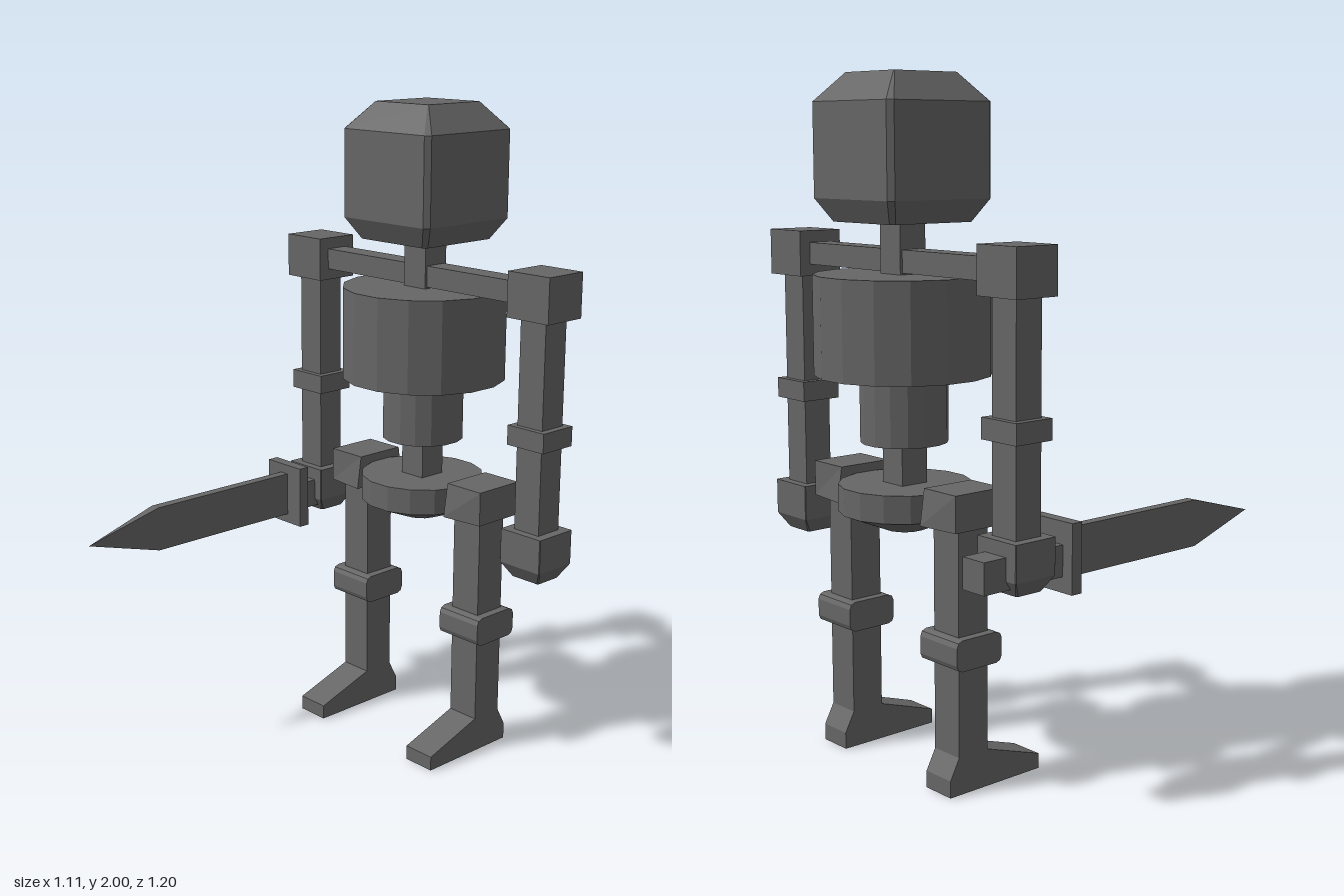
import * as THREE from 'three';

const Z = -0.35; // body axis

export function createModel() {
  const root = new THREE.Group();
  const grey = new THREE.MeshStandardMaterial({ color: 0x666666, flatShading: true });
  grey.name = 'stone grey';

  const add = (name, geo, x = 0, y = 0, z = Z) => {
    const m = new THREE.Mesh(geo, grey);
    m.name = name;
    m.position.set(x, y, z);
    root.add(m);
    return m;
  };
  const box = (name, w, y0, y1, d, x = 0, z = Z) =>
    add(name, new THREE.BoxGeometry(w, y1 - y0, d), x, (y0 + y1) / 2, z);
  const drum = (name, rTop, rBottom, y0, y1) => {
    const g = new THREE.CylinderGeometry(rTop, rBottom, y1 - y0, 16);
    g.rotateY(Math.PI / 16);
    return add(name, g, 0, (y0 + y1) / 2);
  };

  // Stack of rectangular rings [y, halfX, halfZ, corner chamfer], capped at both ends
  const loft = (rings) => {
    const pos = [], idx = [], n = 8;
    for (const [y, a, b, c] of rings) {
      for (const [x, z] of [[a, b - c], [a - c, b], [c - a, b], [-a, b - c],
        [-a, c - b], [c - a, -b], [a - c, -b], [a, c - b]]) pos.push(x, y, z);
    }
    for (let r = 0; r < rings.length - 1; r++) {
      for (let i = 0; i < n; i++) {
        const p = r * n + i, q = r * n + (i + 1) % n;
        idx.push(p, p + n, q, q, p + n, q + n);
      }
    }
    const top = (rings.length - 1) * n;
    for (let i = 1; i < n - 1; i++) {
      idx.push(0, i, i + 1, top, top + i + 1, top + i);
    }
    const g = new THREE.BufferGeometry();
    g.setAttribute('position', new THREE.Float32BufferAttribute(pos, 3));
    g.setIndex(idx);
    g.computeVertexNormals();
    return g;
  };

  // Side profile of [z, y] points, extruded across x and centred on it
  const sideExtrude = (points, width) => {
    const s = new THREE.Shape(points.map(([z, y]) => new THREE.Vector2(-z, y)));
    const g = new THREE.ExtrudeGeometry(s, { depth: width, bevelEnabled: false });
    g.translate(0, 0, -width / 2);
    g.rotateY(Math.PI / 2);
    return g;
  };

  // Head, spine and torso
  add('head', loft([
    [1.59, 0.14, 0.145, 0.012], [1.655, 0.182, 0.182, 0.015],
    [1.92, 0.182, 0.182, 0.015], [2.0, 0.11, 0.11, 0.002],
  ]));
  box('neck', 0.09, 1.44, 1.62, 0.09);
  box('shoulderBar', 0.84, 1.45, 1.515, 0.075);
  drum('chest', 0.255, 0.255, 1.16, 1.445);
  drum('waist', 0.127, 0.127, 0.965, 1.16);
  box('spine', 0.09, 0.83, 0.98, 0.09);
  drum('pelvis', 0.193, 0.193, 0.765, 0.845);
  drum('pelvisBase', 0.193, 0.06, 0.71, 0.765);

  for (const s of [-1, 1]) {
    const side = s > 0 ? 'left' : 'right';

    // Arms
    const ax = s * 0.478;
    box(side + 'Shoulder', 0.155, 1.415, 1.55, 0.145, ax);
    box(side + 'Arm', 0.094, 0.75, 1.42, 0.09, ax);
    box(side + 'Elbow', 0.138, 1.035, 1.095, 0.128, ax);
    add(side + 'Hand', loft([
      [0.625, 0.052, 0.045, 0.005], [0.67, 0.077, 0.072, 0.002], [0.775, 0.077, 0.072, 0.002],
    ]), ax);

    // Hips, wider toward the pelvis
    const hip = new THREE.BoxGeometry(0.135, 0.105, 0.17);
    const p = hip.attributes.position;
    for (let i = 0; i < p.count; i++) {
      if (p.getX(i) * s < 0 && p.getY(i) < 0) p.setZ(i, p.getZ(i) * 1.18);
    }
    hip.computeVertexNormals();
    add(side + 'Hip', hip, s * 0.26, 0.8175);

    // Legs
    const lx = s * 0.247;
    box(side + 'Leg', 0.106, 0.11, 0.78, 0.106, lx);
    const k = 0.02, kz = 0.082, ky = 0.045;
    add(side + 'Knee', sideExtrude([
      [kz, k - ky], [kz, ky - k], [kz - 0.006, ky - 0.006], [kz - k, ky],
      [k - kz, ky], [0.006 - kz, ky - 0.006], [-kz, ky - k], [-kz, k - ky],
      [0.006 - kz, 0.006 - ky], [k - kz, -ky], [kz - k, -ky], [kz - 0.006, 0.006 - ky],
    ], 0.16), lx, 0.415);
    add(side + 'Foot', sideExtrude([
      [0.25, 0], [0.25, 0.045], [0.053, 0.11], [-0.053, 0.11], [-0.085, 0.05], [-0.085, 0],
    ], 0.106), lx);
  }

  // Sword held forward in the right hand
  const sx = -0.475;
  box('swordGrip', 0.085, 0.645, 0.735, 0.31, sx, -0.345);
  box('swordGuard', 0.158, 0.6, 0.8, 0.036, sx, -0.198);
  box('swordBlade', 0.032, 0.63, 0.77, 0.53, sx, 0.085);
  const tip = new THREE.CylinderGeometry(0, Math.SQRT1_2, 0.25, 4, 1, true);
  tip.rotateY(Math.PI / 4);
  tip.rotateX(Math.PI / 2);
  tip.scale(0.032, 0.14, 1);
  add('swordTip', tip, sx, 0.7, 0.475);

  return root;
}
